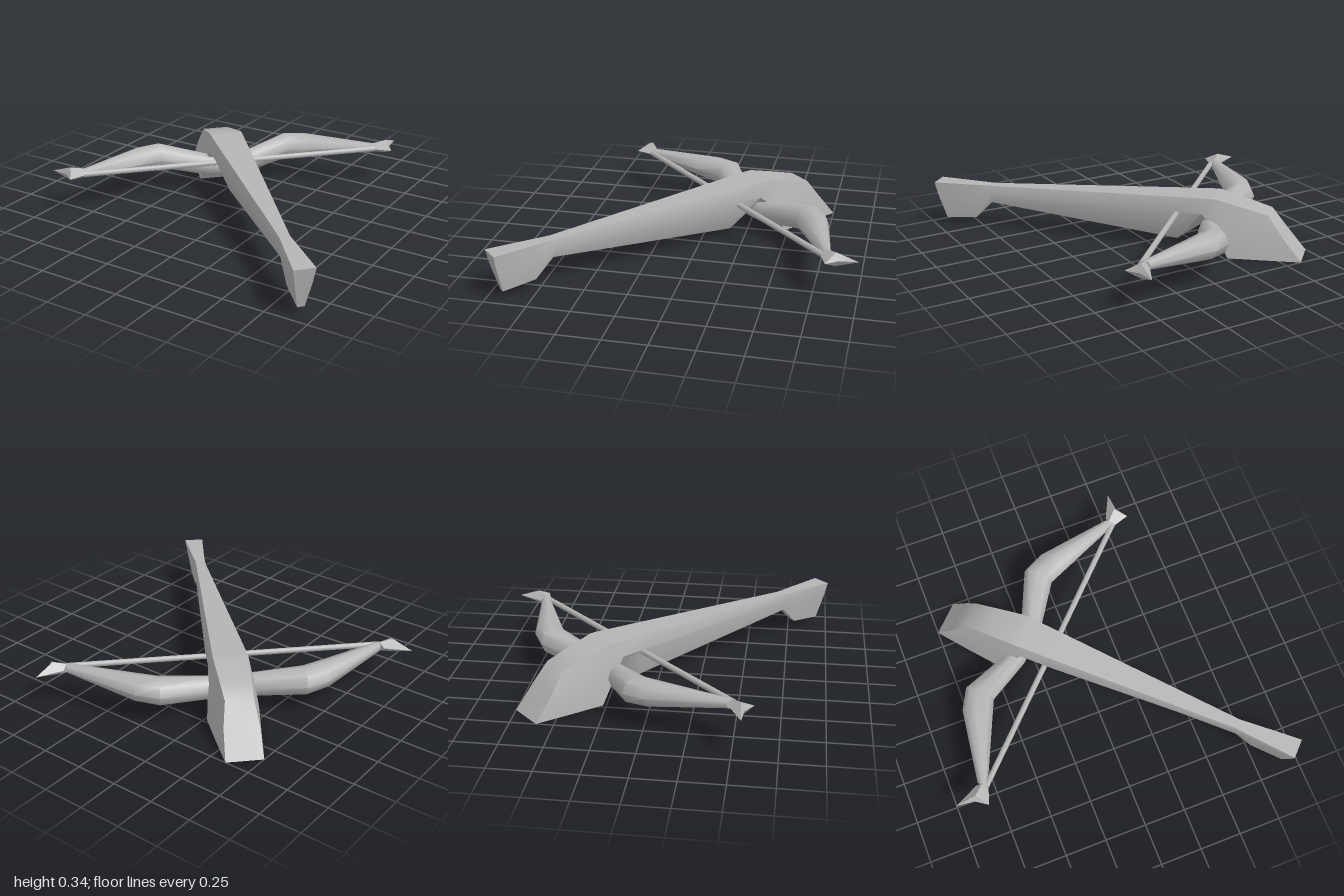
import * as THREE from 'three';
import { toCreasedNormals } from 'three/addons/utils/BufferGeometryUtils.js';

// Closed skin through a list of rings (arrays of [x, y, z]), faces turned outward
function loft(rings, crease = 0.9) {
  const n = rings[0].length;
  const pts = rings.flat();
  const tris = [];
  for (let r = 0; r < rings.length - 1; r++) {
    for (let i = 0; i < n; i++) {
      const a = r * n + i, b = r * n + ((i + 1) % n);
      tris.push([a, b, b + n], [a, b + n, a + n]);
    }
  }
  // End caps as fans around the middle of the ring
  for (const last of [false, true]) {
    const start = last ? (rings.length - 1) * n : 0;
    const ring = last ? rings[rings.length - 1] : rings[0];
    const c = pts.length;
    pts.push([0, 1, 2].map(k => ring.reduce((sum, p) => sum + p[k], 0) / n));
    for (let i = 0; i < n; i++) {
      const a = start + i, b = start + ((i + 1) % n);
      tris.push(last ? [a, b, c] : [b, a, c]);
    }
  }
  const v = pts.map(p => new THREE.Vector3(...p));
  const volume = tris.reduce((sum, [a, b, c]) => sum + v[a].dot(v[b].clone().cross(v[c])), 0);
  const index = tris.flatMap(([a, b, c]) => (volume < 0 ? [a, c, b] : [a, b, c]));
  const g = new THREE.BufferGeometry();
  g.setAttribute('position', new THREE.Float32BufferAttribute(pts.flat(), 3));
  g.setIndex(index);
  return toCreasedNormals(g, crease);
}

export function createModel() {
  const model = new THREE.Group();
  model.name = 'crossbow';
  const grey = new THREE.MeshStandardMaterial({ color: 0xb4b4b4 });
  grey.name = 'grey';
  const bow = new THREE.Group();
  bow.name = 'bowBody';
  bow.rotation.y = Math.PI / 4; // the stock lies along the diagonal
  model.add(bow);

  const add = (name, geometry) => {
    const mesh = new THREE.Mesh(geometry, grey);
    mesh.name = name;
    bow.add(mesh);
    return mesh;
  };

  // Stock: each station has top, middle and bottom [z, y, half width]
  const stations = [
    [[-0.75, 0.26, 0.08], [-0.84, 0.14, 0.1], [-0.955, 0, 0.106]],
    [[-0.6, 0.3, 0.09], [-0.66, 0.15, 0.125], [-0.74, 0, 0.13]],
    [[-0.44, 0.34, 0.1], [-0.46, 0.17, 0.135], [-0.53, 0, 0.15]],
    [[-0.4, 0.34, 0.1], [-0.36, 0.25, 0.12], [-0.38, 0.19, 0.06]],
    [[-0.2, 0.332, 0.09], [-0.18, 0.25, 0.115], [-0.2, 0.05, 0.03]],
    [[0.98, 0.28, 0.03], [0.98, 0.24, 0.04], [0.99, 0.17, 0.025]],
    [[1.1, 0.28, 0.04], [1.1, 0.21, 0.045], [1.1, 0.06, 0.02]],
    [[1.354, 0.28, 0.06], [1.34, 0.2, 0.048], [1.3, 0.04, 0.02]],
  ];
  add('stock', loft(stations.map(([t, m, b]) => {
    const half = [t, m, b];
    return [
      ...half.map(([z, y, w]) => [w, y, z]),
      ...half.slice().reverse().map(([z, y, w]) => [-w, y, z]),
    ];
  })));

  // Limbs: one curved bow; each station is [x, z, half depth, y middle, half height]
  const side = [
    [0.12, -0.41, 0.065, 0.145, 0.072],
    [0.417, -0.495, 0.092, 0.2, 0.082],
    [0.555, -0.445, 0.097, 0.208, 0.074],
    [0.92, -0.233, 0.032, 0.235, 0.028],
  ];
  const mirrored = side.map(([x, ...rest]) => [-x, ...rest]).reverse();
  add('limbs', loft([...mirrored, [0, -0.4, 0.06, 0.14, 0.07], ...side].map(([x, z, d, y, h]) =>
    Array.from({ length: 8 }, (_, i) => {
      const a = (i / 8) * Math.PI * 2;
      return [x, y + h * Math.sin(a), z + d * Math.cos(a)];
    }))));

  // Flared limb tips
  for (const s of [1, -1]) {
    add(s > 0 ? 'leftLimbTip' : 'rightLimbTip', loft([
      [[s * 0.94, 0.235, -0.265], [s * 0.92, 0.263, -0.235], [s * 0.9, 0.235, -0.205], [s * 0.92, 0.207, -0.235]],
      [[s * 1.096, 0.235, -0.318], [s * 1.0, 0.278, -0.235], [s * 1.011, 0.235, -0.148], [s * 1.0, 0.195, -0.235]],
    ]));
  }

  // Bowstring between the tips
  const string = add('bowstring', new THREE.CylinderGeometry(0.017, 0.017, 1.84, 8));
  string.rotation.z = Math.PI / 2;
  string.position.set(0, 0.235, -0.21);

  return model;
}
